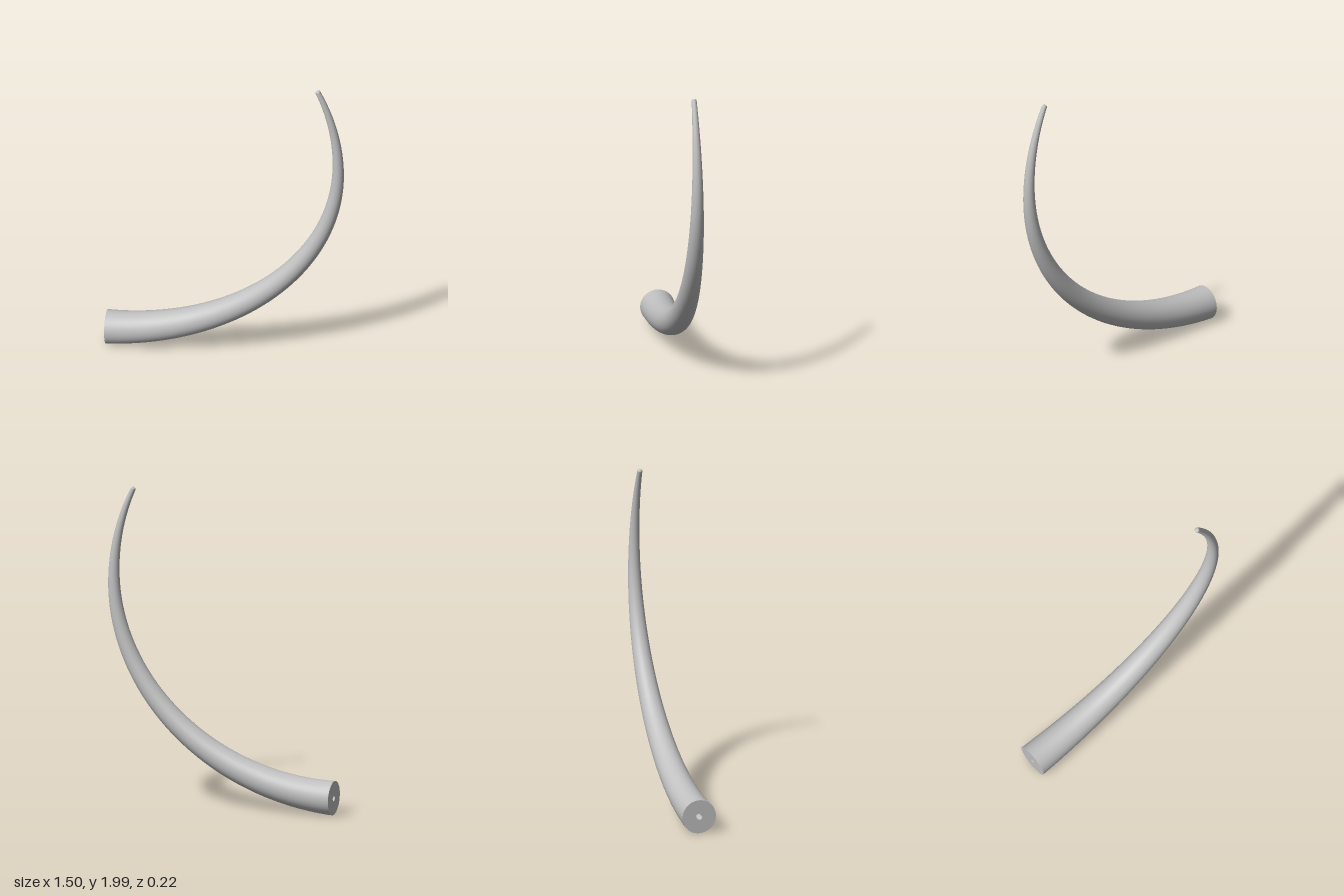
import * as THREE from 'three';

const SIDES = 48;
const A0 = THREE.MathUtils.degToRad(-88);
const A1 = THREE.MathUtils.degToRad(23.7);

// Centre line: an elliptical sweep, a little taller above its widest point
class TuskCurve extends THREE.Curve {
  getPoint(t, target = new THREE.Vector3()) {
    const a = A0 + (A1 - A0) * t;
    const b = a < 0 ? 1.31 : 1.404;
    return target.set(-0.8 + 1.512 * Math.cos(a), 1.42 + b * Math.sin(a), 0);
  }
}

// Skin round sections, each { u, r, shift }, placed along the curve
function sweep(curve, sections) {
  const pos = [], index = [];
  sections.forEach(({ u, r, shift = 0 }, i) => {
    const t = curve.getTangentAt(u);
    const c = curve.getPointAt(u).addScaledVector(t, shift);
    for (let j = 0; j < SIDES; j++) {
      const a = (j / SIDES) * Math.PI * 2;
      const n = r * Math.cos(a);
      pos.push(c.x - t.y * n, c.y + t.x * n, r * Math.sin(a));
      if (i === 0) continue;
      const k = (j + 1) % SIDES, p = (i - 1) * SIDES, q = i * SIDES;
      index.push(p + j, p + k, q + j, p + k, q + k, q + j);
    }
  });
  const g = new THREE.BufferGeometry();
  g.setAttribute('position', new THREE.Float32BufferAttribute(pos, 3));
  g.setIndex(index);
  g.computeVertexNormals();
  return g;
}

export function createModel() {
  const group = new THREE.Group();
  group.name = 'tusk';
  const ivory = new THREE.MeshStandardMaterial({ color: 0xc0c0c0 });
  ivory.name = 'grey ivory';
  const curve = new TuskCurve();
  curve.arcLengthDivisions = 800;

  const add = (name, sections) => {
    const mesh = new THREE.Mesh(sweep(curve, sections), ivory);
    mesh.name = name;
    group.add(mesh);
  };

  const rootR = 0.108, tipR = 0.016, canalR = 0.02;

  // Tapering outer body with a small rounded tip
  const body = [];
  for (let i = 0; i <= 96; i++) {
    const u = i / 96;
    body.push({ u, r: THREE.MathUtils.lerp(rootR, tipR, u) });
  }
  for (let i = 1; i <= 6; i++) {
    const a = (i / 6) * Math.PI / 2;
    body.push({ u: 1, r: Math.max(tipR * Math.cos(a), 0.0001), shift: 0.011 * Math.sin(a) });
  }
  add('body', body);

  // Flat root face around the canal opening
  add('rootFace', [{ u: 0, r: canalR }, { u: 0, r: rootR }]);

  // Narrow canal inside, closing towards the tip
  const canal = [];
  for (let i = 0; i <= 40; i++) {
    const u = 0.9 * (1 - i / 40);
    canal.push({ u, r: THREE.MathUtils.lerp(canalR, 0.001, u / 0.9) });
  }
  add('canal', canal);

  return group;
}
